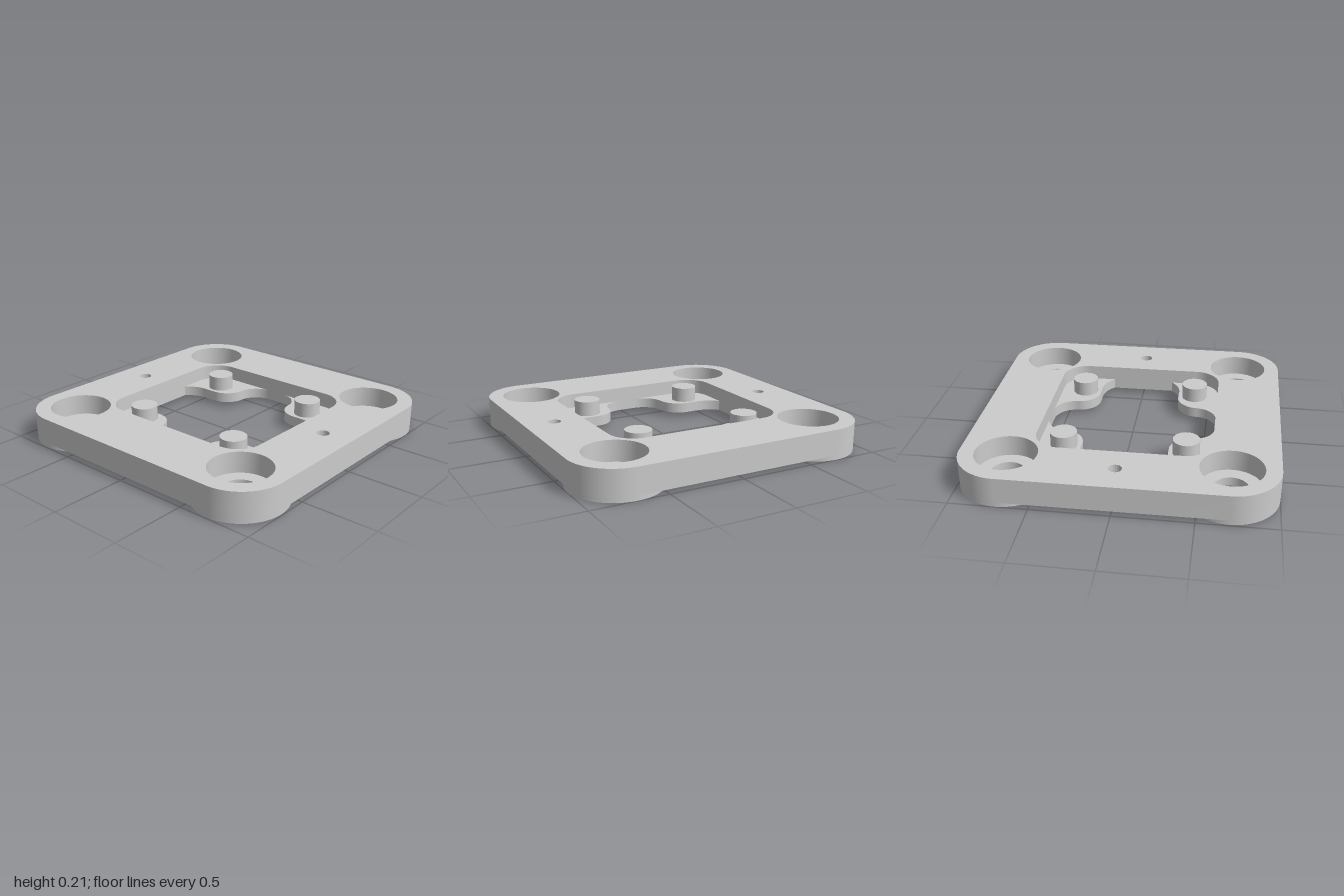
import * as THREE from 'three';
import { mergeGeometries, toCreasedNormals } from 'three/addons/utils/BufferGeometryUtils.js';

const PI = Math.PI;
// Heights of the plate's levels
const BASE = 0.03, FLOOR = 0.06, SHELF = 0.1, TOP = 0.2;
const SIGNS = [[1, 1], [-1, 1], [-1, -1], [1, -1]];
const material = new THREE.MeshStandardMaterial({ color: 0xcccccc });

const circle = (x, y, r) => new THREE.Shape().absarc(x, y, r, 0, 2 * PI, false);
const loop = (path) => path.getPoints(24);

function roundedRect(w, h, r) {
  return new THREE.Shape()
    .absarc(w - r, h - r, r, 0, PI / 2)
    .absarc(r - w, h - r, r, PI / 2, PI)
    .absarc(r - w, r - h, r, PI, 1.5 * PI)
    .absarc(w - r, r - h, r, 1.5 * PI, 2 * PI);
}

// Horizontal face of an outline with holes, facing up or down
function face(outline, holes, y, up = true) {
  const shape = new THREE.Shape(loop(outline));
  shape.holes = holes.map((h) => new THREE.Path(loop(h)));
  const g = new THREE.ShapeGeometry(shape, 24);
  g.rotateX(up ? -PI / 2 : PI / 2).translate(0, y, 0);
  return g.toNonIndexed().deleteAttribute('uv');
}

// Vertical wall along a closed outline, facing outward or inward
function wall(outline, y0, y1, outward = true) {
  const pts = loop(outline);
  if (THREE.ShapeUtils.isClockWise(pts) === outward) pts.reverse();
  const pos = [];
  pts.forEach((p, i) => {
    const q = pts[(i + 1) % pts.length];
    if (p.distanceTo(q) < 1e-6) return;
    pos.push(p.x, y0, -p.y, q.x, y0, -q.y, q.x, y1, -q.y);
    pos.push(p.x, y0, -p.y, q.x, y1, -q.y, p.x, y1, -p.y);
  });
  const g = new THREE.BufferGeometry();
  g.setAttribute('position', new THREE.Float32BufferAttribute(pos, 3));
  g.computeVertexNormals();
  return g;
}

function part(name, pieces) {
  const mesh = new THREE.Mesh(toCreasedNormals(mergeGeometries(pieces), 0.5), material);
  mesh.name = name;
  return mesh;
}

// Wavy inner edge of one shelf corner, from the side wall to the end wall
function shelfEdge() {
  const r = 0.2, cx = 0.45, cy = 0.085;
  return loop(new THREE.Path()
    .absarc(cx, cy, r, Math.acos((0.6 - cx) / r), PI / 2, false)
    .absarc(0.36, 0.43, 0.145, 1.5 * PI, PI, true)
    .absarc(0.065, 0.42, 0.15, 0, PI / 2, false));
}

// Mirror a list of points into a quadrant, keeping counter-clockwise order
function mirrored(pts, [sx, sy]) {
  const out = pts.map((p) => new THREE.Vector2(p.x * sx, p.y * sy));
  return sx * sy < 0 ? out.reverse() : out;
}

export function createModel() {
  const group = new THREE.Group();
  group.name = 'mountingPlate';

  const outline = roundedRect(1, 1, 0.3);
  const pocket = roundedRect(0.6, 0.57, 0.17);
  const edge = shelfEdge();
  const opening = new THREE.Shape(SIGNS.flatMap((s) => mirrored(edge, s)));
  const corners = (r) => SIGNS.map(([sx, sy]) => circle(0.7 * sx, 0.7 * sy, r));
  const pins = [-0.795, 0.795].map((x) => circle(x, 0, 0.042));

  // Underside: the round feet bite out the corners
  const underside = new THREE.Shape()
    .absarc(0.7, 0.7, 0.3, 0, PI / 2, true)
    .absarc(-0.7, 0.7, 0.3, PI / 2, PI, true)
    .absarc(-0.7, -0.7, 0.3, PI, 1.5 * PI, true)
    .absarc(0.7, -0.7, 0.3, 1.5 * PI, 2 * PI, true);

  // Frame with central pocket, opening and pin holes
  group.add(part('frame', [
    face(outline, [pocket, ...corners(0.2), ...pins], TOP),
    face(underside, [opening, ...pins], BASE, false),
    wall(outline, BASE, TOP),
    wall(pocket, SHELF, TOP, false),
    wall(opening, BASE, SHELF, false),
    ...pins.map((p) => wall(p, BASE, TOP, false)),
  ]));

  // Ledges in the pocket corners
  const pocketCorner = loop(new THREE.Path().absarc(0.43, 0.4, 0.17, PI / 2, 0, true));
  const ledge = [...edge, ...pocketCorner];
  group.add(part('shelves', SIGNS.map((s) =>
    face(new THREE.Shape(mirrored(ledge, s)), [], SHELF))));

  // Counterbored screw holes
  const bores = corners(0.2), holes = corners(0.11);
  group.add(part('screwHoles', bores.flatMap((b, i) => [
    wall(b, FLOOR, TOP, false),
    face(b, [holes[i]], FLOOR),
    wall(holes[i], 0, FLOOR, false),
  ])));

  // Round feet under the corners
  group.add(part('feet', corners(0.3).flatMap((f, i) => [
    wall(f, 0, BASE),
    face(f, [holes[i]], 0, false),
  ])));

  // Pegs standing on the ledges
  group.add(part('pegs', SIGNS.flatMap(([sx, sy]) => {
    const peg = circle(0.395 * sx, 0.4 * sy, 0.088);
    return [wall(peg, SHELF, TOP), face(peg, [], TOP)];
  })));

  // The plate sits at a very slight tilt
  group.rotation.x = -0.004;
  group.position.y = 0.004;
  return group;
}
